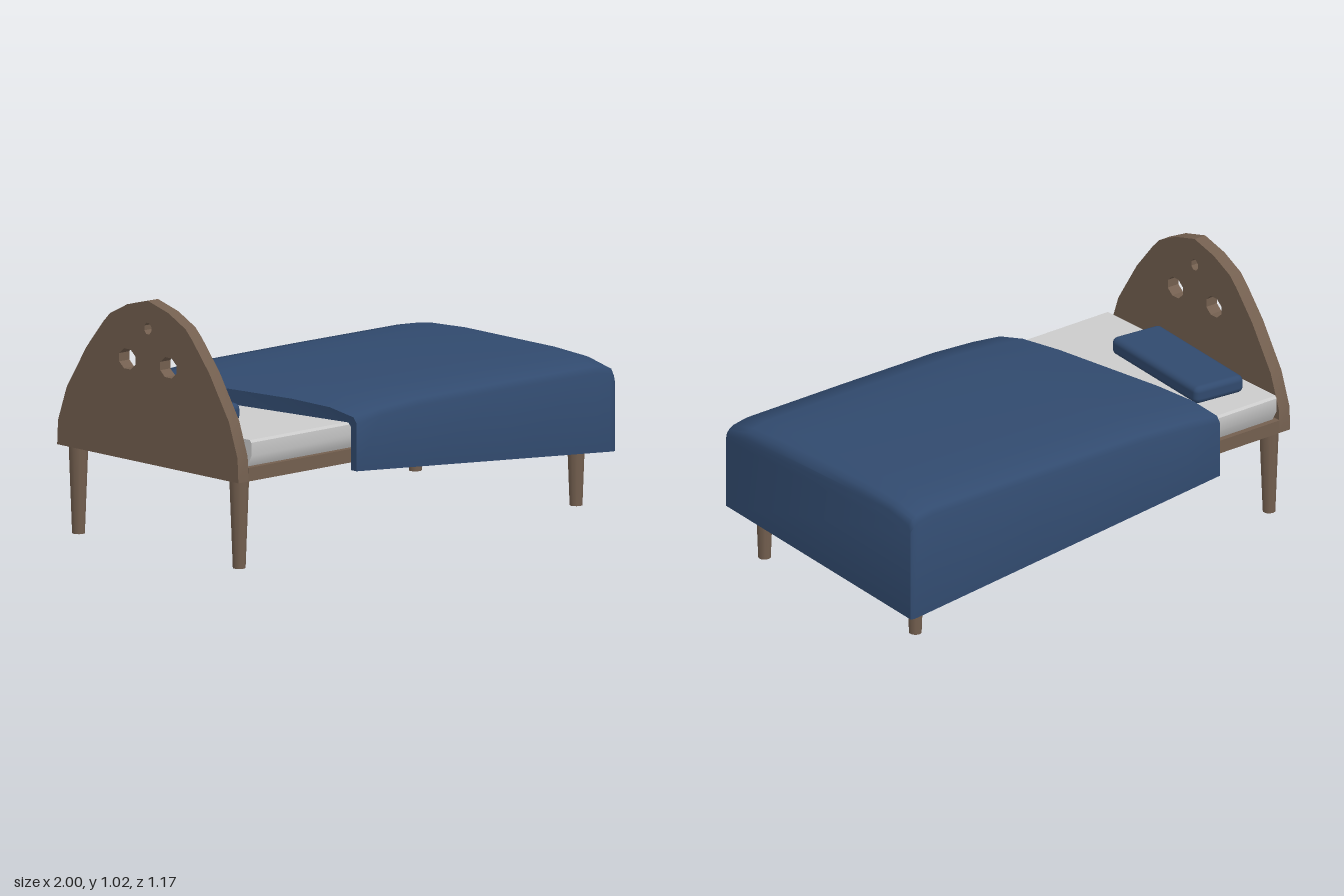
import * as THREE from 'three';
import { mergeGeometries, toCreasedNormals } from 'three/addons/utils/BufferGeometryUtils.js';
import { RoundedBoxGeometry } from 'three/addons/geometries/RoundedBoxGeometry.js';

const wood = new THREE.MeshStandardMaterial({ color: 0x735f4f });
const navy = new THREE.MeshStandardMaterial({ color: 0x314a6e });
const grey = new THREE.MeshStandardMaterial({ color: 0xcccccc });

// Skin closed rings of [x, y, z] points that advance along +x, with strip caps.
function loft(rings, capStart = true, capEnd = true) {
  const n = rings[0].length;
  const index = [];
  const quad = (a, b, c, d) => index.push(a, b, d, b, c, d);
  for (let r = 0; r < rings.length - 1; r++) {
    for (let i = 0; i < n; i++) {
      const j = (i + 1) % n;
      quad(r * n + i, r * n + j, (r + 1) * n + j, (r + 1) * n + i);
    }
  }
  const last = (rings.length - 1) * n;
  for (let i = 0; i < Math.floor(n / 2); i++) {
    const [a, b, c, d] = [i, i + 1, n - 2 - i, n - 1 - i];
    if (capEnd) quad(last + a, last + b, last + c, last + d);
    if (capStart) quad(d, c, b, a);
  }
  const geo = new THREE.BufferGeometry();
  geo.setAttribute('position', new THREE.Float32BufferAttribute(rings.flat(2), 3));
  geo.setIndex(index);
  return geo.toNonIndexed();
}

// Headboard: arched panel with three octagonal cut-outs
function headboardGeometry() {
  const half = [[0.53, 0.36], [0.525, 0.46], [0.475, 0.6], [0.36, 0.78], [0.26, 0.9],
    [0.22, 0.94], [0.12, 0.99]];
  const outline = [...half, [0, 1.022], ...half.map(([z, y]) => [-z, y]).reverse()];
  const shape = new THREE.Shape(outline.map(([z, y]) => new THREE.Vector2(z, y)));
  for (const [cz, cy, rz, ry] of [[-0.12, 0.768, 0.051, 0.044], [0.12, 0.768, 0.051, 0.044],
    [0, 0.909, 0.022, 0.025]]) {
    const pts = [];
    for (let i = 0; i < 8; i++) {
      const a = -(i + 0.5) * Math.PI / 4;
      pts.push(new THREE.Vector2(cz + rz * Math.cos(a), cy + ry * Math.sin(a)));
    }
    shape.holes.push(new THREE.Path(pts));
  }
  const geo = new THREE.ExtrudeGeometry(shape, { depth: 0.055, bevelEnabled: false });
  geo.rotateY(-Math.PI / 2);
  geo.translate(-0.945, 0, 0);
  return toCreasedNormals(geo, 0.5);
}

// Mattress: sides taper in towards the base
function mattressGeometry() {
  const half = [[0.505, 0.415], [0.53, 0.46], [0.53, 0.515], [0.522, 0.525]];
  const profile = [...half.map(([z, y]) => [-z, y]), ...[...half].reverse()];
  return toCreasedNormals(loft([-0.93, 0.95].map(x => profile.map(([z, y]) => [x, y, z]))), 0.6);
}

// Blanket: a thick cover with a slanted head edge and an uneven hanging hem
function blanketGeometry() {
  const half = [[0.585, 0], [0.585, 0.555], [0.57, 0.58], [0.45, 0.606], [0.26, 0.616]];
  const profile = [...half.map(([z, y]) => [-z, y]), [0, 0.616], ...[...half].reverse()];
  const foot = 0.965;
  const lerp = THREE.MathUtils.lerp;
  const hem = (x, z) => z > 0
    ? lerp(0.335, 0.22, (x + 0.41) / 1.41)
    : lerp(0.295, 0.125, (x + 0.59) / 1.59);
  const isHem = i => i === 0 || i === profile.length - 1;
  const isSide = i => i === 1 || i === profile.length - 2;

  // Top and side drapes, as an outer and an inner skin
  const rings = [[0, 0.028], [0.1, 0.012], [0.25, 0], [0.6, 0], [0.95, 0.003], [1, 0.015]].map(([s, drop]) => {
    const along = z => lerp(-0.5 + 0.155 * z, foot, s);
    const outer = profile.map(([z, y], i) => {
      const x = along(z);
      return [x, isHem(i) ? hem(x, z) : y - drop, z];
    });
    const inner = profile.map(([z], i) => {
      const x = along(z);
      return [x, isHem(i) ? hem(x, z) : isSide(i) ? 0.51 : 0.527, z * 0.945];
    });
    return [...outer, ...inner.reverse()];
  });

  // Foot drape
  const footRings = [[foot, 0.015, 1], [0.988, 0.026, 0.998], [1, 0.05, 0.985]].map(([x, drop, k]) =>
    profile.map(([z, y], i) => [x, isHem(i) ? hem(x, z) : y - drop, z * k]));

  return toCreasedNormals(mergeGeometries([loft(rings, true, false), loft(footRings)]), 0.9);
}

export function createModel() {
  const model = new THREE.Group();
  model.name = 'bed';
  const add = (name, geo, material, x = 0, y = 0, z = 0) => {
    const mesh = new THREE.Mesh(geo, material);
    mesh.name = name;
    mesh.position.set(x, y, z);
    model.add(mesh);
    return mesh;
  };

  add('headboard', headboardGeometry(), wood);
  add('bedFrame', new THREE.BoxGeometry(1.905, 0.055, 1.06), wood, 0.0075, 0.3875, 0);
  add('mattress', mattressGeometry(), grey);
  add('blanket', blanketGeometry(), navy);

  // Pillow, lying slightly askew
  const pillow = add('pillow', new RoundedBoxGeometry(0.235, 0.075, 0.61, 2, 0.025), navy, -0.775, 0.558, -0.1);
  pillow.rotation.y = -0.1;

  // Tapered legs
  const legGeo = new THREE.CylinderGeometry(0.04, 0.026, 0.36, 10);
  for (const [end, x] of [['head', -0.94], ['foot', 0.888]]) {
    for (const [side, z] of [['Front', 0.47], ['Back', -0.47]]) {
      add(`${end}${side}Leg`, legGeo, wood, x, 0.18, z);
    }
  }
  return model;
}
